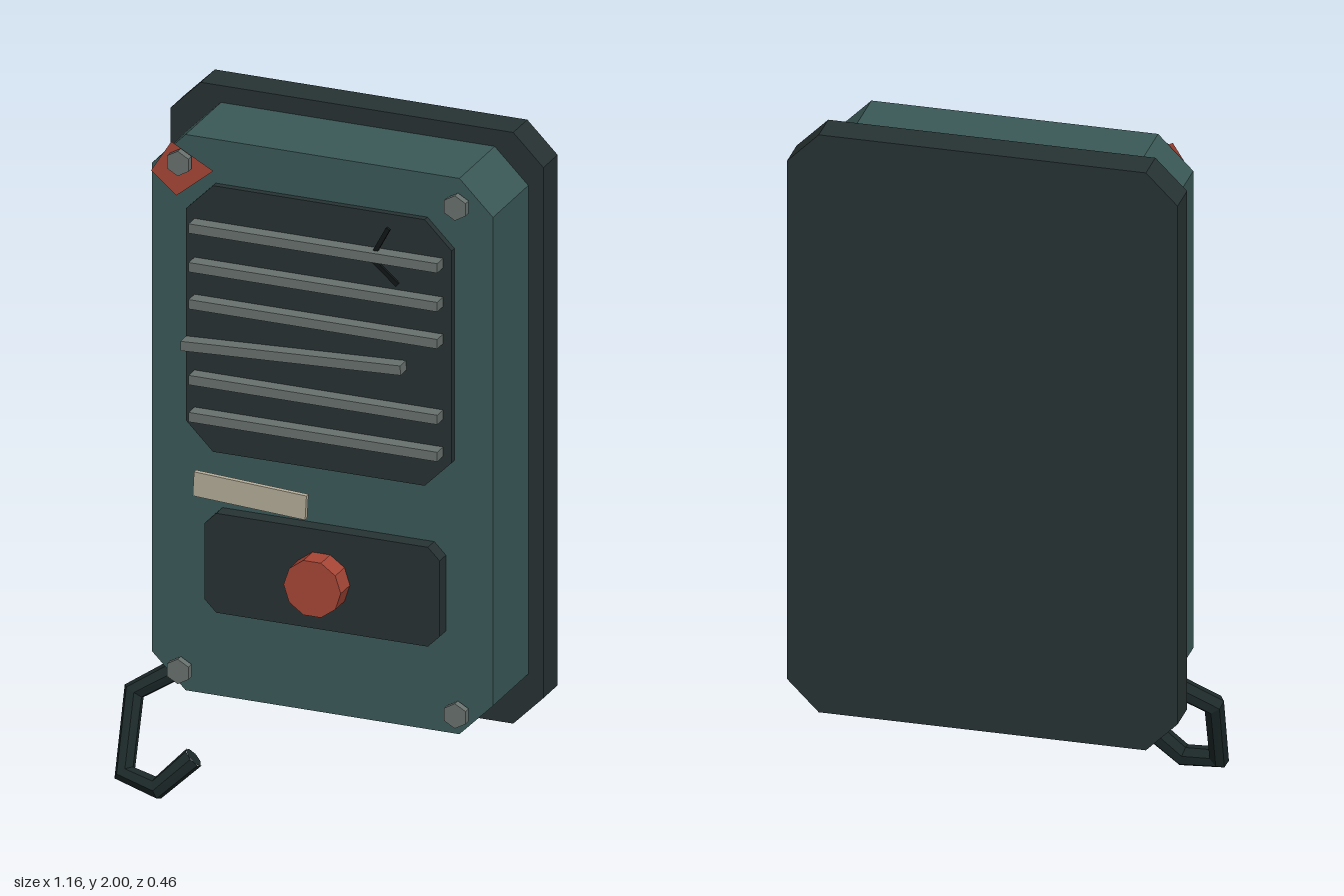
import * as THREE from 'three';

const mat = (name, color) => {
  const m = new THREE.MeshStandardMaterial({ color });
  m.name = name;
  return m;
};

export function createModel() {
  const group = new THREE.Group();
  const teal = mat('teal paint', 0x3a5958);
  const dark = mat('dark casing', 0x273233);
  const rubber = mat('dark cable', 0x1d2929);
  const black = mat('black crack', 0x111616);
  const metal = mat('grey metal', 0x68716e);
  const red = mat('red', 0xa84636);
  const cream = mat('cream label', 0xb5ad9a);
  red.side = THREE.DoubleSide;

  const add = (name, geometry, material, x = 0, y = 0, z = 0) => {
    const mesh = new THREE.Mesh(geometry, material);
    mesh.name = name;
    mesh.position.set(x, y, z);
    group.add(mesh);
    return mesh;
  };

  // Slab with four cut corners, from z0 to z1
  const slab = (name, material, x0, x1, y0, y1, z0, z1, c) => {
    const pts = [[x0 + c, y0], [x1 - c, y0], [x1, y0 + c], [x1, y1 - c],
      [x1 - c, y1], [x0 + c, y1], [x0, y1 - c], [x0, y0 + c]];
    const shape = new THREE.Shape(pts.map(p => new THREE.Vector2(...p)));
    const geo = new THREE.ExtrudeGeometry(shape, { depth: z1 - z0, bevelEnabled: false });
    return add(name, geo, material, 0, 0, z0);
  };

  // Flat-sided disc facing +z
  const disc = (name, material, r, sides, turn, x, y, z0, z1) => {
    const geo = new THREE.CylinderGeometry(r, r, z1 - z0, sides).toNonIndexed();
    geo.rotateY(turn).rotateX(Math.PI / 2).computeVertexNormals();
    return add(name, geo, material, x, y, (z0 + z1) / 2);
  };

  // Casing
  slab('backPlate', dark, -0.53, 0.58, 0.245, 2.0, -0.23, -0.13, 0.09);
  slab('body', teal, -0.48, 0.535, 0.3, 1.95, -0.13, 0.12, 0.1);
  slab('speakerPanel', dark, -0.37, 0.42, 1.03, 1.82, 0.12, 0.14, 0.08);
  slab('buttonPanel', dark, -0.305, 0.395, 0.565, 0.86, 0.12, 0.165, 0.035);

  // Speaker slats, one of them knocked loose
  for (const y of [1.7, 1.585, 1.475, 1.25, 1.14]) {
    add('slat', new THREE.BoxGeometry(0.74, 0.028, 0.042), metal, 0.025, y, 0.161);
  }
  const loose = add('looseSlat', new THREE.BoxGeometry(0.655, 0.028, 0.042), metal, -0.042, 1.363, 0.161);
  loose.rotation.z = 0.048;

  // Call button
  disc('button', red, 0.085, 10, Math.PI / 2, 0.043, 0.71, 0.165, 0.23);

  // Corner bolts
  for (const x of [-0.389, 0.436]) {
    for (const y of [0.367, 1.875]) disc('bolt', metal, 0.037, 6, 0, x, y, 0.133, 0.155);
  }

  // Crooked name label
  const label = add('label', new THREE.BoxGeometry(0.335, 0.072, 0.015), cream, -0.173, 0.925, 0.152);
  label.rotation.z = -0.055;

  // Paint chip around the upper bolt
  const chip = new THREE.Shape([[-0.48, 1.83], [-0.405, 1.767], [-0.295, 1.857], [-0.42, 1.925]]
    .map(p => new THREE.Vector2(...p)));
  add('paintChip', new THREE.ShapeGeometry(chip), red, 0, 0, 0.126);

  // Crack across the upper slat
  for (const [ax, ay, bx, by] of [[0.24, 1.785, 0.195, 1.7], [0.195, 1.685, 0.268, 1.622]]) {
    const line = add('crack', new THREE.BoxGeometry(Math.hypot(bx - ax, by - ay), 0.013, 0.009),
      black, (ax + bx) / 2, (ay + by) / 2, 0.159);
    line.rotation.z = Math.atan2(by - ay, bx - ax);
  }

  // Torn cable: a mitred tube with one straight piece between each pair of points
  const pts = [[-0.38, 0.36, 0.02], [-0.55, 0.255, 0.08], [-0.538, 0.05, 0.175],
    [-0.43, 0.032, 0.2], [-0.335, 0.127, 0.17]].map(p => new THREE.Vector3(...p));
  const path = new THREE.CatmullRomCurve3(pts);
  path.getPointAt = (u, target) => path.getPoint(u, target);
  path.getTangentAt = (u, target) => path.getTangent(u, target);
  const tube = new THREE.TubeGeometry(path, pts.length - 1, 0.032, 7, false).toNonIndexed();
  tube.computeVertexNormals();
  add('cable', tube, rubber);
  const cap = add('cableEnd', new THREE.CircleGeometry(0.031, 7), rubber, ...pts[4].toArray());
  cap.quaternion.setFromUnitVectors(new THREE.Vector3(0, 0, 1), path.getTangent(1));

  return group;
}
